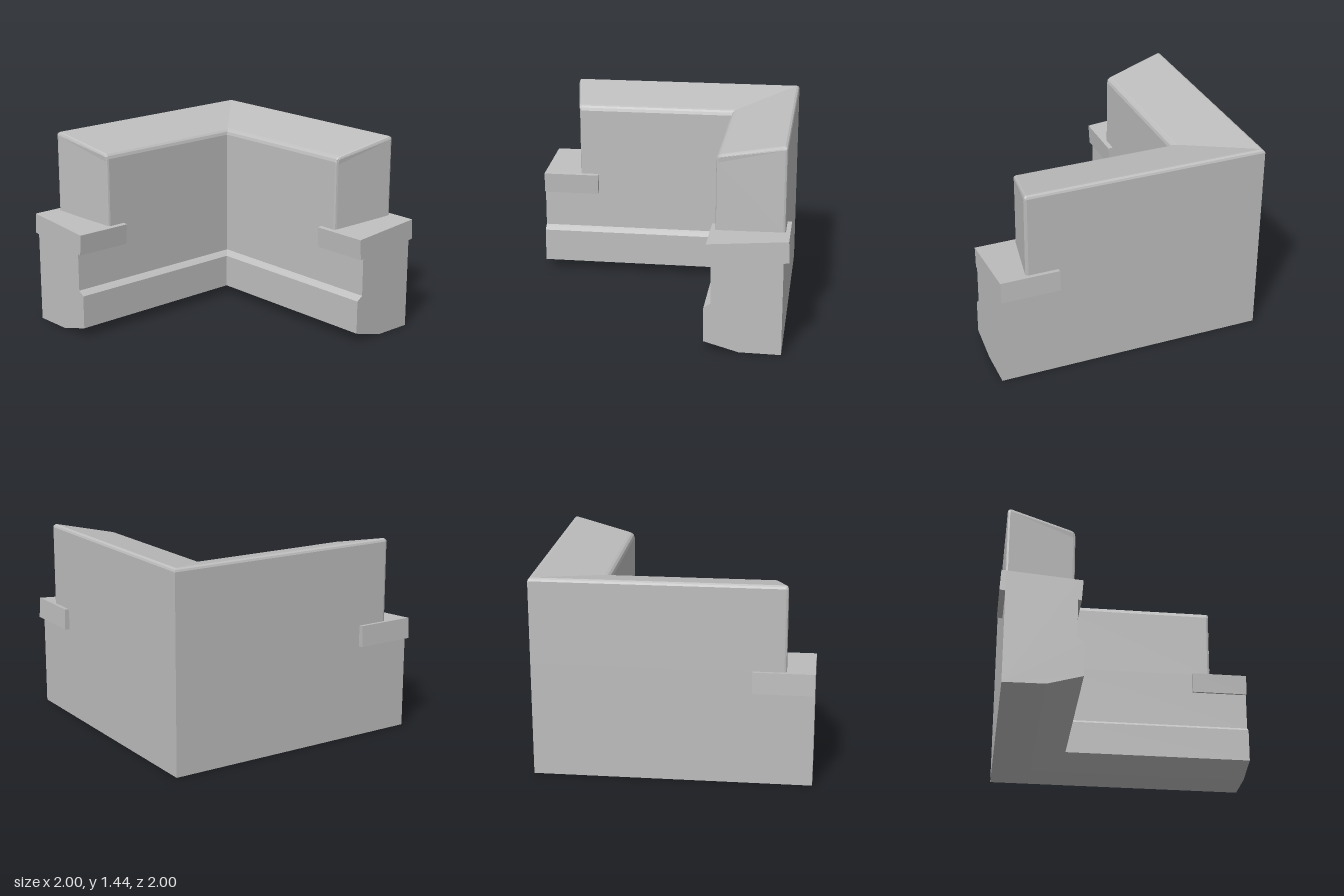
import * as THREE from 'three';

// Stations place a profile point (u, y) on one arm of the corner.
// The two arms mirror each other across the diagonal x = -z.
const frontArm = (end, shape = p => p) => p => {
  const [u, y] = shape(p);
  return [u, y, end(p[0])];
};
const mirrored = station => p => {
  const [x, y, z] = station(p);
  return [-z, y, -x];
};
const mitre = ([u, y]) => [u, y, -u];

// Sweeps a counter-clockwise profile through the stations and caps both ends.
function sweep(name, profile, stations, material) {
  const rings = stations.map(s => profile.map(s));
  const n = profile.length;
  const pos = [];
  const tri = (a, b, c) => pos.push(...a, ...b, ...c);
  for (let s = 0; s < rings.length - 1; s++) {
    for (let i = 0; i < n; i++) {
      const j = (i + 1) % n;
      const r = rings[s], q = rings[s + 1];
      tri(r[i], q[i], r[j]);
      tri(q[i], q[j], r[j]);
    }
  }
  const first = rings[0], last = rings[rings.length - 1];
  const outline = profile.map(p => new THREE.Vector2(p[0], p[1]));
  for (const [a, b, c] of THREE.ShapeUtils.triangulateShape(outline, [])) {
    tri(first[a], first[b], first[c]);
    tri(last[c], last[b], last[a]);
  }
  const geometry = new THREE.BufferGeometry();
  geometry.setAttribute('position', new THREE.Float32BufferAttribute(pos, 3));
  geometry.computeVertexNormals();
  const mesh = new THREE.Mesh(geometry, material);
  mesh.name = name;
  return mesh;
}

export function createModel() {
  const group = new THREE.Group();
  group.name = 'battlementCorner';
  const stone = new THREE.MeshStandardMaterial({ color: 0xbebebe });
  stone.name = 'grey stone';

  // Lower wall with a projecting plinth and an undercut foot
  const wallProfile = [
    [0.96, 0], [0.96, 0.828], [0.466, 0.79], [0.466, 0.355],
    [0.448, 0.343], [0.418, 0.322], [0.418, 0.072], [0.665, 0.003],
  ];
  const wallEnd = frontArm(() => 1);
  group.add(sweep('lowerWall', wallProfile, [wallEnd, mitre, mirrored(wallEnd)], stone));

  // Raised parapet with sloping top, softened edges and slanted ends
  const parapetProfile = [
    [0.96, 0.828], [0.96, 1.415], [0.954, 1.429], [0.94, 1.437], [0.925, 1.435],
    [0.505, 1.342], [0.487, 1.335], [0.473, 1.322], [0.466, 1.3], [0.466, 0.79],
  ];
  const slant = u => 0.715 + (u - 0.466) * 0.185;
  const inset = d => ([u, y]) => [
    THREE.MathUtils.clamp(u, 0.466 + d, 0.96 - d), y > 1 ? y - d : y,
  ];
  const bevel = [[0, 0.018], [0.005, 0.005], [0.018, 0]]
    .map(([d, back]) => frontArm(u => slant(u) - back, inset(d)))
    .reverse();
  group.add(sweep('parapet', parapetProfile,
    [...bevel, mitre, ...bevel.map(mirrored).reverse()], stone));

  // Short coping lips on both faces at each open end
  const lips = {
    innerLip: [[0.44, 0.633], [0.466, 0.637], [0.466, 0.79], [0.43, 0.787]],
    outerLip: [[0.96, 0.674], [1, 0.679], [0.992, 0.831], [0.96, 0.828]],
  };
  for (const [name, profile] of Object.entries(lips)) {
    const ends = [frontArm(() => 1), frontArm(() => 0.573)];
    group.add(sweep(name + 'Front', profile, ends, stone));
    group.add(sweep(name + 'Side', profile, ends.map(mirrored).reverse(), stone));
  }
  return group;
}
